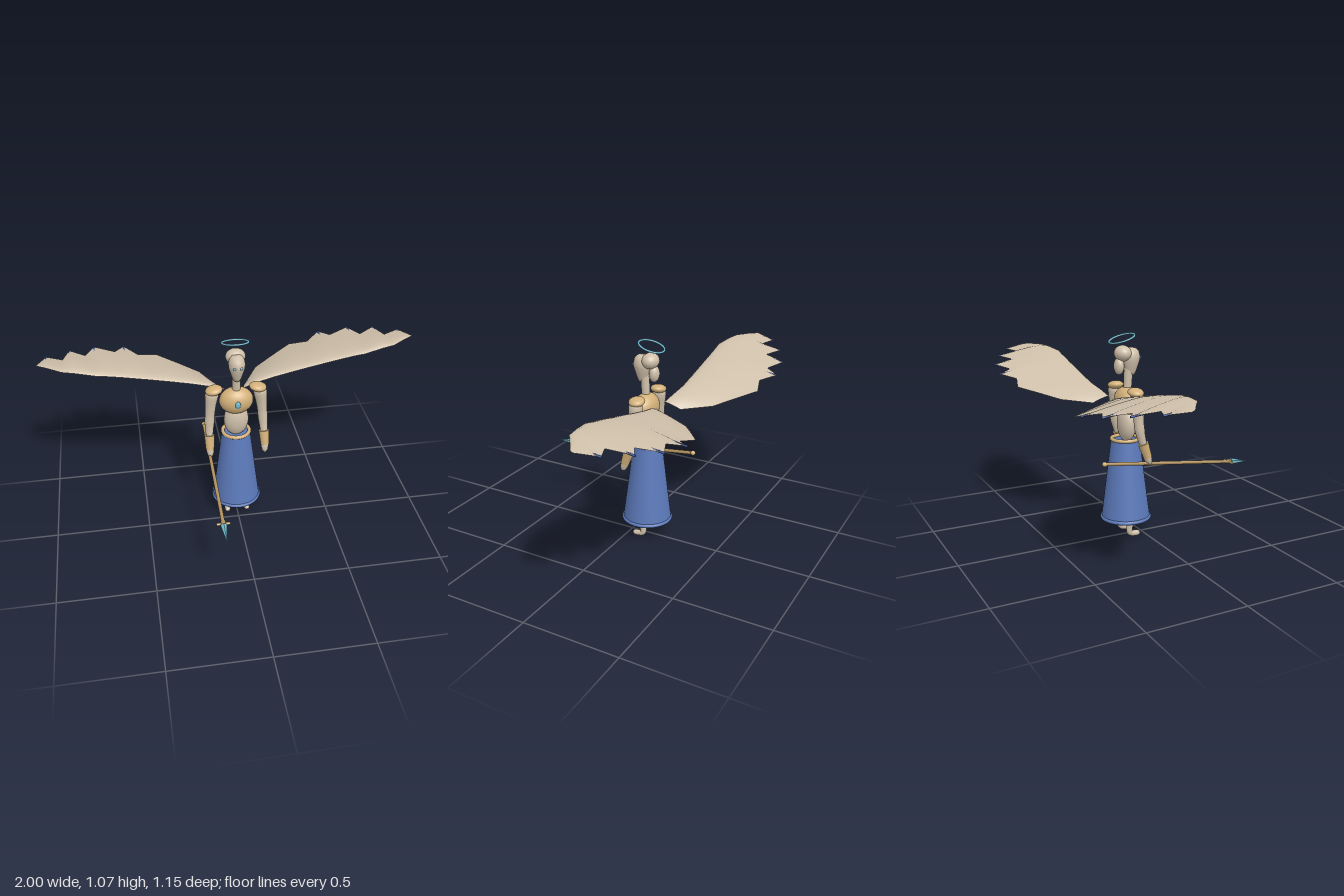
import * as THREE from 'three';

const mat = (name, color, side = THREE.FrontSide) => {
  const m = new THREE.MeshStandardMaterial({ color, side });
  m.name = name;
  return m;
};
const V = (x, y, z) => new THREE.Vector3(x, y, z);

export function createModel() {
  const ivory = mat('ivory', 0xcfc0aa);
  const gold = mat('gold', 0xd2b07a);
  const blue = mat('blue', 0x5c7abb);
  const navy = mat('feather blue', 0x4360a8);
  const cyan = mat('cyan', 0x70b8cc);
  const bronze = mat('bronze', 0xb0915f);
  const model = new THREE.Group();

  const add = (name, geo, material) => {
    const m = new THREE.Mesh(geo, material);
    m.name = name;
    model.add(m);
    return m;
  };
  const ball = (name, material, [x, y, z], [rx, ry, rz]) => {
    const m = add(name, new THREE.SphereGeometry(1, 24, 16), material);
    m.position.set(x, y, z);
    m.scale.set(rx, ry, rz);
    return m;
  };
  // straight round bar from a to b
  const rod = (name, material, a, b, ra, rb, sides = 16, flat = false) => {
    let geo = new THREE.CylinderGeometry(rb, ra, a.distanceTo(b), sides);
    if (flat) {
      geo = geo.toNonIndexed();
      geo.computeVertexNormals();
    }
    const m = add(name, geo, material);
    m.position.copy(a).lerp(b, 0.5);
    m.quaternion.setFromUnitVectors(V(0, 1, 0), b.clone().sub(a).normalize());
    return m;
  };
  // bent limb whose radius follows a list, rounded off at both ends
  const limb = (name, material, pts, radii) => {
    const curve = new THREE.CatmullRomCurve3(pts);
    const n = 32, sides = 14;
    const geo = new THREE.TubeGeometry(curve, n, 1, sides);
    const p = geo.attributes.position, v = V(0, 0, 0);
    for (let i = 0; i <= n; i++) {
      const f = (i / n) * (radii.length - 1), k = Math.min(Math.floor(f), radii.length - 2);
      const cap = Math.sqrt(Math.max(0, 1 - Math.max(0, 1 - Math.min(i, n - i) / 3) ** 2));
      const r = THREE.MathUtils.lerp(radii[k], radii[k + 1], f - k) * cap;
      const c = curve.getPointAt(i / n);
      for (let j = 0; j <= sides; j++) {
        const id = i * (sides + 1) + j;
        v.fromBufferAttribute(p, id).sub(c).multiplyScalar(r).add(c);
        p.setXYZ(id, v.x, v.y, v.z);
      }
    }
    geo.computeVertexNormals();
    return add(name, geo, material);
  };
  const ring = (name, material, r, tube, y, z, tilt) => {
    const m = add(name, new THREE.TorusGeometry(r, tube, 12, 40), material);
    m.position.set(0, y, z);
    m.rotation.x = -Math.PI / 2 - tilt;
    return m;
  };

  // skirt and belt
  add('skirt', new THREE.CylinderGeometry(0.075, 0.129, 0.425, 40), blue).position.set(0, 0.308, -0.09);
  ring('skirtHem', blue, 0.124, 0.011, 0.102, -0.09, 0);
  ring('belt', gold, 0.071, 0.01, 0.527, -0.09, 0);

  // torso
  ball('abdomen', ivory, [0, 0.605, -0.083], [0.066, 0.095, 0.045]);
  ball('breastplate', gold, [0, 0.725, -0.08], [0.09, 0.075, 0.062]);
  ball('chestGem', cyan, [0, 0.73, -0.018], [0.014, 0.021, 0.009]);

  // neck, head and hair
  rod('neck', ivory, V(0, 0.77, -0.078), V(0, 0.92, -0.068), 0.021, 0.024);
  const profile = [[0, 0.855], [0.018, 0.86], [0.026, 0.88], [0.035, 0.91], [0.042, 0.935],
    [0.043, 0.955], [0.038, 0.98], [0.024, 0.996], [0, 1.001]].map(([r, y]) => new THREE.Vector2(r, y));
  const head = add('head', new THREE.LatheGeometry(profile, 28), ivory);
  head.position.z = -0.058;
  head.scale.z = 1.15;
  ball('hair', ivory, [0, 0.972, -0.102], [0.052, 0.041, 0.044]);
  ball('hairBun', ivory, [0, 0.908, -0.124], [0.032, 0.044, 0.026]);
  ring('halo', cyan, 0.067, 0.0055, 1.048, -0.107, 0.3);

  // wing rows: leading x, y, z then trailing x, y, z from root to tip
  const rows = [
    [0.05, 0.745, -0.155, 0.07, 0.715, -0.24],
    [0.12, 0.765, -0.165, 0.155, 0.73, -0.38],
    [0.22, 0.785, -0.175, 0.26, 0.75, -0.455],
    [0.33, 0.81, -0.174, 0.375, 0.77, -0.535],
    [0.42, 0.83, -0.172, 0.475, 0.795, -0.505],
    [0.50, 0.847, -0.17, 0.55, 0.815, -0.575],
    [0.57, 0.862, -0.168, 0.60, 0.828, -0.50],
    [0.64, 0.876, -0.165, 0.71, 0.84, -0.55],
    [0.70, 0.887, -0.16, 0.755, 0.855, -0.435],
    [0.80, 0.90, -0.18, 0.84, 0.865, -0.485],
    [0.87, 0.905, -0.195, 0.87, 0.88, -0.365],
    [0.94, 0.905, -0.245, 0.955, 0.885, -0.40],
    [1.0, 0.903, -0.285, 1.0, 0.898, -0.30],
  ];
  const wingSkin = (s, top) => {
    const pos = [], idx = [], n = 10;
    rows.forEach(([ax, ay, az, bx, by, bz]) => {
      const chord = Math.min(1, Math.abs(bz - az) / 0.3);
      for (let j = 0; j <= n; j++) {
        const t = (j / n) ** 1.6;
        const camber = 0.016 * chord * Math.sin(Math.PI * t ** 0.6);
        const half = 0.007 * chord * Math.sqrt(Math.min(1, t * 12)) * (1 - t * 0.75) * (top ? 1 : -1);
        pos.push(s * (ax + (bx - ax) * t), ay + (by - ay) * t + camber + half, az + (bz - az) * t);
      }
    });
    for (let i = 0; i < rows.length - 1; i++) for (let j = 0; j < n; j++) {
      const a = i * (n + 1) + j, b = a + n + 1;
      if ((s > 0) === top) idx.push(a, b, a + 1, b, b + 1, a + 1);
      else idx.push(a, a + 1, b, b, a + 1, b + 1);
    }
    const geo = new THREE.BufferGeometry();
    geo.setAttribute('position', new THREE.Float32BufferAttribute(pos, 3));
    geo.setIndex(idx);
    geo.computeVertexNormals();
    return geo;
  };

  for (const s of [1, -1]) {
    const side = s > 0 ? 'left' : 'right';
    add(side + 'WingTop', wingSkin(s, true), ivory);
    add(side + 'WingUnderside', wingSkin(s, false), ivory);
    // coloured quills at the feather tips
    for (const k of [5, 7, 9, 11]) {
      const [, , , x, y, z] = rows[k];
      rod(side + 'FeatherQuill', navy, V(s * (x - 0.003), y + 0.011, z + 0.095), V(s * x, y, z - 0.003), 0.006, 0.005, 8);
    }
    // arm, shoulder pad and bracer
    limb(side + 'Arm', ivory,
      [V(s * 0.122, 0.8, -0.088), V(s * 0.135, 0.69, -0.085), V(s * 0.143, 0.59, -0.078),
        V(s * 0.147, 0.49, -0.05), V(s * 0.147, 0.41, -0.022)],
      [0.035, 0.035, 0.029, 0.026, 0.026, 0.021, 0.017, 0.021, 0.017]);
    const pad = ball(side + 'ShoulderPad', gold, [s * 0.115, 0.79, -0.088], [0.046, 0.022, 0.041]);
    pad.rotation.z = -s * 0.15;
    rod(side + 'Bracer', gold, V(s * 0.146, 0.53, -0.062), V(s * 0.148, 0.455, -0.037), 0.028, 0.022);
    // leg with foot
    limb(side + 'Leg', ivory,
      [V(s * 0.053, 0.15, -0.09), V(s * 0.053, 0.08, -0.091), V(s * 0.053, 0.025, -0.093),
        V(s * 0.054, 0.016, -0.07), V(s * 0.055, 0.015, -0.033)],
      [0.022, 0.021, 0.019, 0.017, 0.016, 0.016, 0.014]);
    ball(side + 'Eye', cyan, [s * 0.017, 0.947, -0.014], [0.008, 0.008, 0.006]);
  }

  // spear held in the right hand
  const tail = V(-0.15, 0.452, -0.28), tip = V(-0.15, 0.35, 0.573);
  const along = (t) => tail.clone().lerp(tip, t);
  rod('spearShaft', bronze, tail, along(0.885), 0.0095, 0.0095, 12);
  ball('spearPommel', gold, tail.toArray(), [0.013, 0.013, 0.013]);
  rod('spearCollar', bronze, along(0.845), along(0.882), 0.012, 0.012, 12);
  const guard = along(0.865);
  rod('spearGuard', gold, guard.clone().add(V(-0.034, 0, 0)), guard.clone().add(V(0.034, 0, 0)), 0.007, 0.007, 10);
  rod('spearHead', cyan, along(0.878), tip, 0.019, 0.0005, 6, true);

  return model;
}
